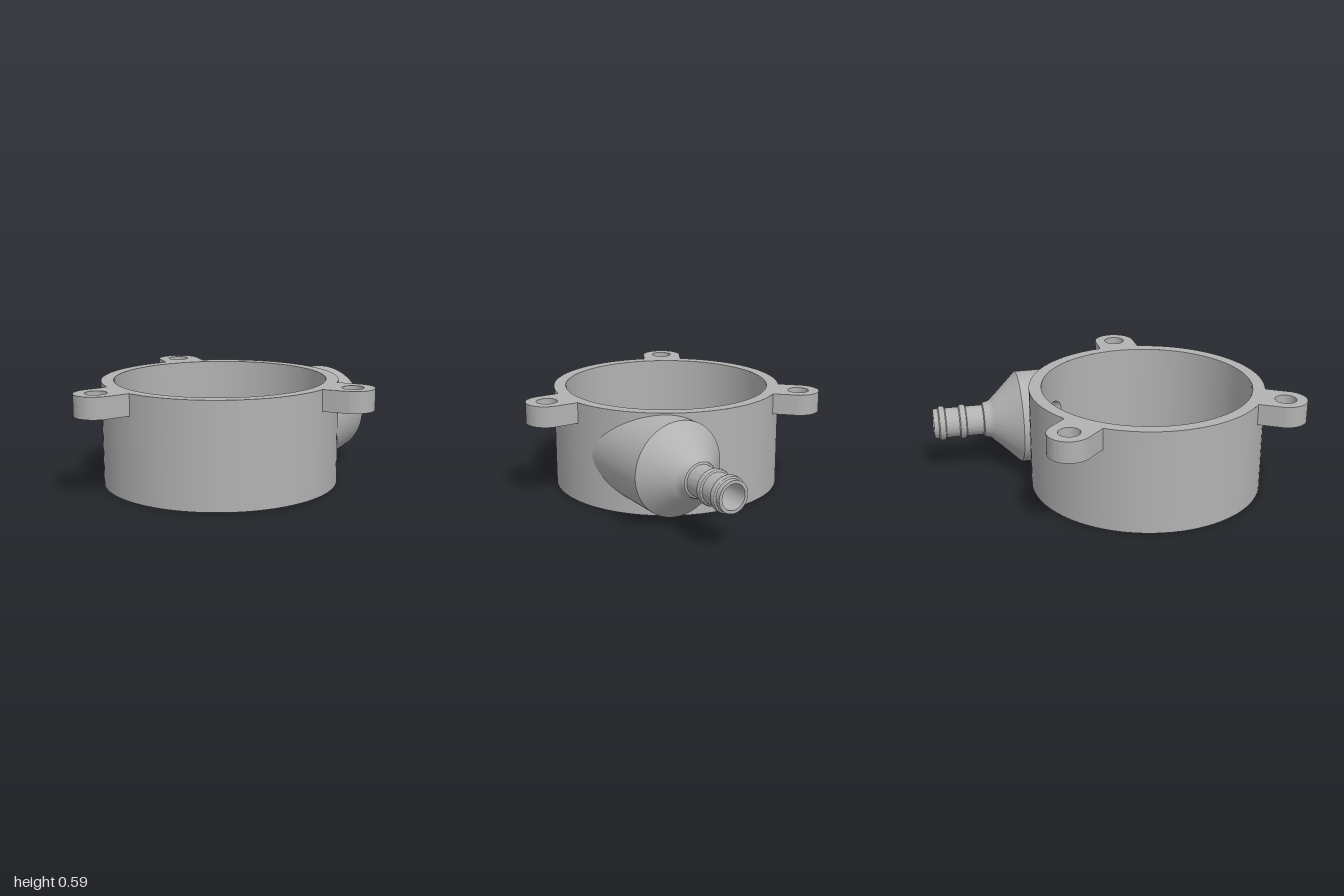
import * as THREE from 'three';
import { toCreasedNormals } from 'three/addons/utils/BufferGeometryUtils.js';

const H = 0.59, FLOOR = 0.06, R_OUT = 0.67, R_IN = 0.6, R_HOLE = 0.375;
const CX = -0.12, CZ = 0.195;            // bowl axis
const PX = 0.36, PY = 0.31, BORE = 0.07; // port axis, relative to the bowl axis
const PATCH = 0.14;                      // half width of the wall patch around the port

const lathe = (pts, start = 0, length = Math.PI * 2) =>
  new THREE.LatheGeometry(pts.map(([r, y]) => new THREE.Vector2(r, y)), 96, start, length);

// Round wall, left open where the port comes through
function openWall(r, y0, y1, inward) {
  const a = Math.asin((PX - PATCH) / r), b = Math.asin((PX + PATCH) / r);
  const pts = inward ? [[r, y1], [r, y0]] : [[r, y0], [r, y1]];
  return lathe(pts, Math.PI - a, Math.PI * 2 - (b - a));
}

// Curved patch with a round hole that fills the opening of the wall
function wallPatch(r, y0, y1, hole, inward) {
  const side = 10, n = side * 4, rings = 6, pos = [], nor = [], idx = [];
  for (let j = 0; j <= rings; j++) {
    for (let i = 0; i <= n; i++) {
      const k = Math.floor((i % n) / side), t = ((i % n) % side) / side * 2 - 1;
      const [u, v] = [[1, t], [-t, 1], [-1, -t], [t, -1]][k];
      const a = Math.atan2(v, u), f = j / rings;
      const x = PX + (1 - f) * hole * Math.cos(a) + f * u * PATCH;
      const y = PY + (1 - f) * hole * Math.sin(a) + f * v * (v > 0 ? y1 - PY : PY - y0);
      const z = -Math.sqrt(r * r - x * x), s = inward ? -1 : 1;
      pos.push(x, y, z);
      nor.push(s * x / r, 0, s * z / r);
      if (j < rings && i < n) {
        const p = j * (n + 1) + i, q = p + n + 1;
        if (inward) idx.push(p, q, p + 1, q, q + 1, p + 1);
        else idx.push(p, p + 1, q, q, p + 1, q + 1);
      }
    }
  }
  const g = new THREE.BufferGeometry();
  g.setAttribute('position', new THREE.Float32BufferAttribute(pos, 3));
  g.setAttribute('normal', new THREE.Float32BufferAttribute(nor, 3));
  g.setIndex(idx);
  return g;
}

// Hose port: cylinder, cone, barbed tube and bore, with its root cut to the round wall
function portGeometry() {
  const barb = d => [[0.088, d - 0.022], [0.097, d - 0.016], [0.101, d - 0.006],
    [0.101, d + 0.006], [0.097, d + 0.016], [0.088, d + 0.022]];
  const profile = [[0.27, 0.1], [0.27, 0.5], [0.145, 0.63], [0.133, 0.645], [0.118, 0.658],
    [0.108, 0.675], [0.104, 0.695], [0.099, 0.707], [0.088, 0.712],
    ...barb(0.83), ...barb(0.95), [0.088, 1], [BORE, 1], [BORE, 0.1]];
  const g = lathe(profile).rotateX(-Math.PI / 2).translate(PX, PY, -CZ);
  const p = g.attributes.position;
  for (let i = 0; i < p.count; i++) {
    if (p.getZ(i) < -0.4) continue;
    const x = p.getX(i);
    const r = Math.hypot(x - PX, p.getY(i) - PY) > 0.2 ? 0.645 : R_IN;
    p.setZ(i, -Math.sqrt(r * r - x * x));
  }
  return toCreasedNormals(g, 0.6);
}

// One layer of a mounting lug, pointing along +x
function lugLayer(y, height, hole) {
  const s = new THREE.Shape();
  s.moveTo(0.645, -0.12);
  s.lineTo(0.79, -0.12);
  s.absarc(0.79, 0, 0.12, -Math.PI / 2, Math.PI / 2, false);
  s.lineTo(0.645, 0.12);
  s.closePath();
  s.holes.push(new THREE.Path().absarc(0.79, 0, hole, 0, Math.PI * 2, true));
  const g = new THREE.ExtrudeGeometry(s, { depth: height, bevelEnabled: false, curveSegments: 24 });
  return toCreasedNormals(g.rotateX(-Math.PI / 2).translate(0, y, 0), 0.6);
}

export function createModel() {
  const model = new THREE.Group();
  model.name = 'pumpHousing';
  const grey = new THREE.MeshStandardMaterial({ color: 0xb2b2b2 });
  grey.name = 'grey';
  const add = (name, geometry, parent) => {
    const m = new THREE.Mesh(geometry, grey);
    m.name = name;
    parent.add(m);
  };

  // Bowl
  const bowl = new THREE.Group();
  bowl.name = 'bowl';
  bowl.position.set(CX, 0, CZ);
  model.add(bowl);
  add('underside', lathe([[R_HOLE, 0], [R_OUT, 0]]), bowl);
  add('outerWall', openWall(R_OUT, 0, H, false), bowl);
  add('outerWallPatch', wallPatch(R_OUT, 0, H, 0.1, false), bowl);
  add('rim', lathe([[R_OUT, H], [R_IN, H]]), bowl);
  add('innerWall', openWall(R_IN, FLOOR, H, true), bowl);
  add('innerWallPatch', wallPatch(R_IN, FLOOR, H, BORE, true), bowl);

  // Floor, rounded down into the central opening
  const floor = [[R_IN, FLOOR], [0.47, FLOOR]];
  for (let i = 0; i <= 10; i++) {
    const a = i / 10 * Math.PI / 2;
    floor.push([0.46 - 0.085 * Math.sin(a), FLOOR * Math.cos(a)]);
  }
  add('floor', lathe(floor), bowl);

  // Hose port
  add('hosePort', portGeometry(), bowl);

  // Mounting lugs, counterbored from below
  for (const degrees of [0, 135, 240]) {
    const lug = new THREE.Group();
    lug.name = 'mountingLug';
    lug.rotation.y = THREE.MathUtils.degToRad(degrees);
    add('lugBase', lugLayer(0.47, 0.05, 0.088), lug);
    add('lugTop', lugLayer(0.52, 0.07, 0.06), lug);
    bowl.add(lug);
  }
  return model;
}
